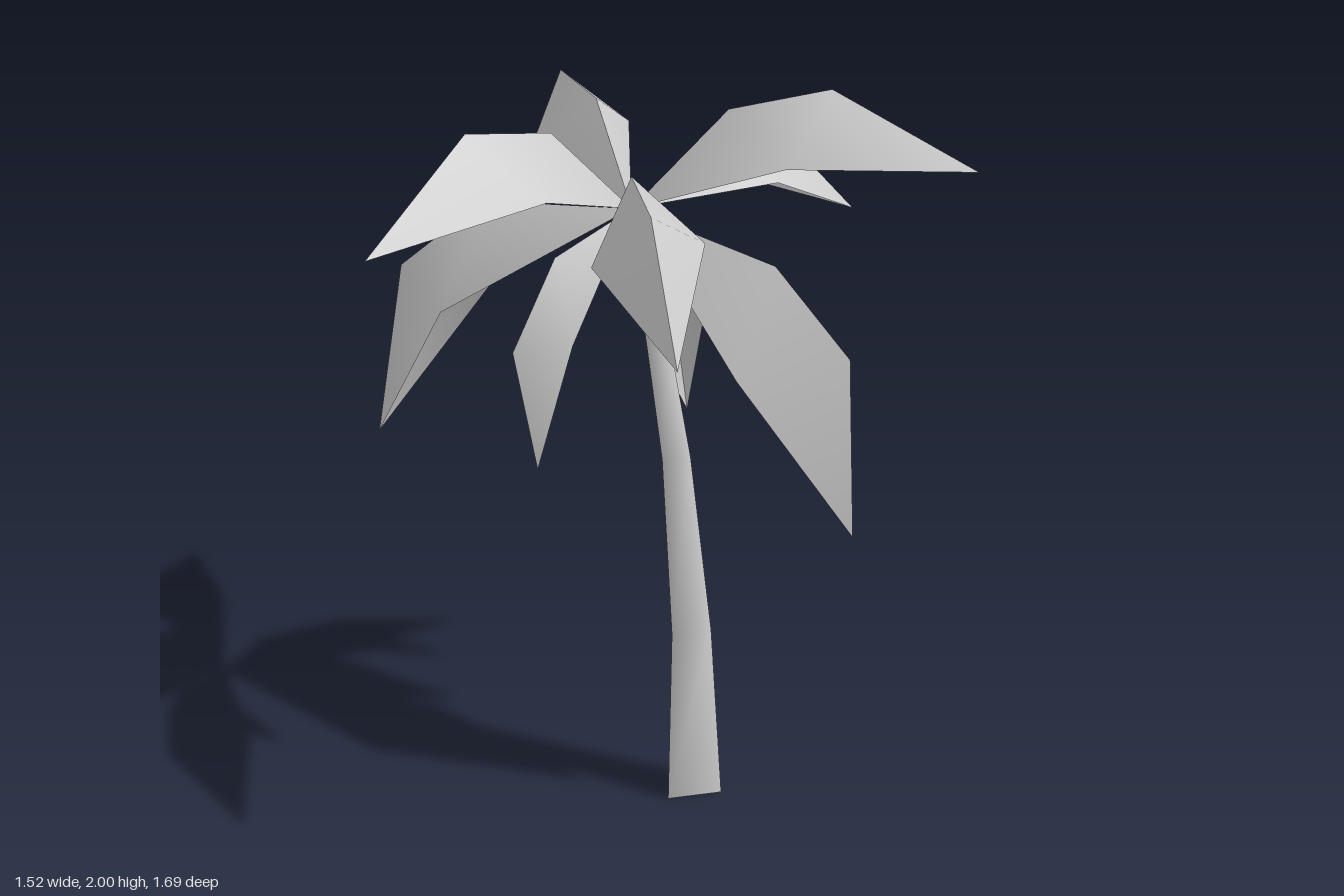
import * as THREE from 'three';

const material = new THREE.MeshStandardMaterial({ color: 0xcccccc, side: THREE.DoubleSide });
const HUB = [0.05, 1.66, 0.03];

function makeMesh(name, points, index) {
  const geometry = new THREE.BufferGeometry();
  geometry.setAttribute('position', new THREE.Float32BufferAttribute(points.flat(), 3));
  geometry.setIndex(index);
  geometry.computeVertexNormals();
  const mesh = new THREE.Mesh(geometry, material);
  mesh.name = name;
  return mesh;
}

// Frond: a folded leaf, two halves meeting at a sharp central rib.
// left and right are as seen looking outward from the crown.
function makeFrond({ rib, left, right, tip }) {
  const [inner, outer] = rib;
  const half = (side) => [HUB, inner, outer, tip, side];
  return makeMesh('frond', [...half(left), ...half(right)], [
    0, 1, 4, 1, 2, 4, 2, 3, 4,
    5, 9, 6, 6, 9, 7, 7, 9, 8,
  ]);
}

// Trunk: a bent three-sided column that narrows toward the crown.
function makeTrunk() {
  const rings = [ // x, y, z, width
    [0.17, 0, 0.147, 0.15],
    [0.162, 0.5, 0.144, 0.108],
    [0.13, 1, 0.115, 0.076],
    [0.097, 1.3, 0.077, 0.062],
    [0.05, 1.67, 0.03, 0.036],
  ];
  const corners = [[-0.5, 0.3], [0.5, 0.49], [0.16, -0.49]];
  const points = [];
  const index = [];
  rings.forEach(([x, y, z, w], r) => {
    corners.forEach(([cx, cz], i) => {
      points.push([x + cx * w, y, z + cz * w]);
      if (r === 0) return;
      const a = (r - 1) * 3 + i;
      const b = (r - 1) * 3 + (i + 1) % 3;
      index.push(a, b, b + 3, a, b + 3, a + 3);
    });
  });
  // Base cap with its own corners, so its edge stays sharp
  const n = points.length;
  points.push(...points.slice(0, 3));
  index.push(n, n + 2, n + 1);
  return makeMesh('trunk', points, index);
}

const fronds = [
  // Upper fronds
  { rib: [[0.08, 1.88, -0.26], [0.09, 1.9, -0.52]], left: [-0.03, 1.72, -0.44], right: [0.24, 1.77, -0.4], tip: [0.18, 1.65, -0.85] },
  { rib: [[-0.2, 1.9, 0.1], [-0.45, 1.94, 0.17]], left: [-0.3, 1.79, 0.31], right: [-0.41, 1.765, 0.05], tip: [-0.765, 1.715, 0.34] },
  { rib: [[-0.08, 1.83, 0.31], [-0.155, 1.81, 0.58]], left: [0.03, 1.7, 0.49], right: [-0.23, 1.65, 0.41], tip: [-0.21, 1.53, 0.84] },
  { rib: [[0.24, 1.935, 0.19], [0.44, 2.0, 0.35]], left: [0.475, 1.83, 0.19], right: [0.285, 1.83, 0.41], tip: [0.72, 1.82, 0.59] },
  { rib: [[0.29, 1.81, -0.03], [0.53, 1.785, -0.065]], left: [0.405, 1.67, -0.14], right: [0.445, 1.695, 0.08], tip: [0.76, 1.55, -0.07] },
  // Drooping fronds
  { rib: [[-0.22, 1.62, -0.32], [-0.39, 1.41, -0.51]], left: [-0.38, 1.36, -0.23], right: [-0.12, 1.37, -0.46], tip: [-0.45, 0.91, -0.575] },
  { rib: [[0.27, 1.585, 0.4], [0.39, 1.38, 0.575]], left: [0.41, 1.35, 0.31], right: [0.135, 1.325, 0.465], tip: [0.405, 0.91, 0.6] },
  { rib: [[0.24, 1.56, -0.2], [0.325, 1.34, -0.31]], left: [0.18, 1.31, -0.26], right: [0.345, 1.32, -0.12], tip: [0.345, 0.97, -0.23] },
  { rib: [[-0.18, 1.57, 0.07], [-0.31, 1.345, 0.1]], left: [-0.18, 1.37, 0.18], right: [-0.17, 1.34, -0.05], tip: [-0.25, 1.02, 0.11] },
];

export function createModel() {
  const model = new THREE.Group();
  model.name = 'palmTree';
  const crown = new THREE.Group();
  crown.name = 'crown';
  fronds.forEach((frond) => crown.add(makeFrond(frond)));
  model.add(makeTrunk(), crown);
  return model;
}
